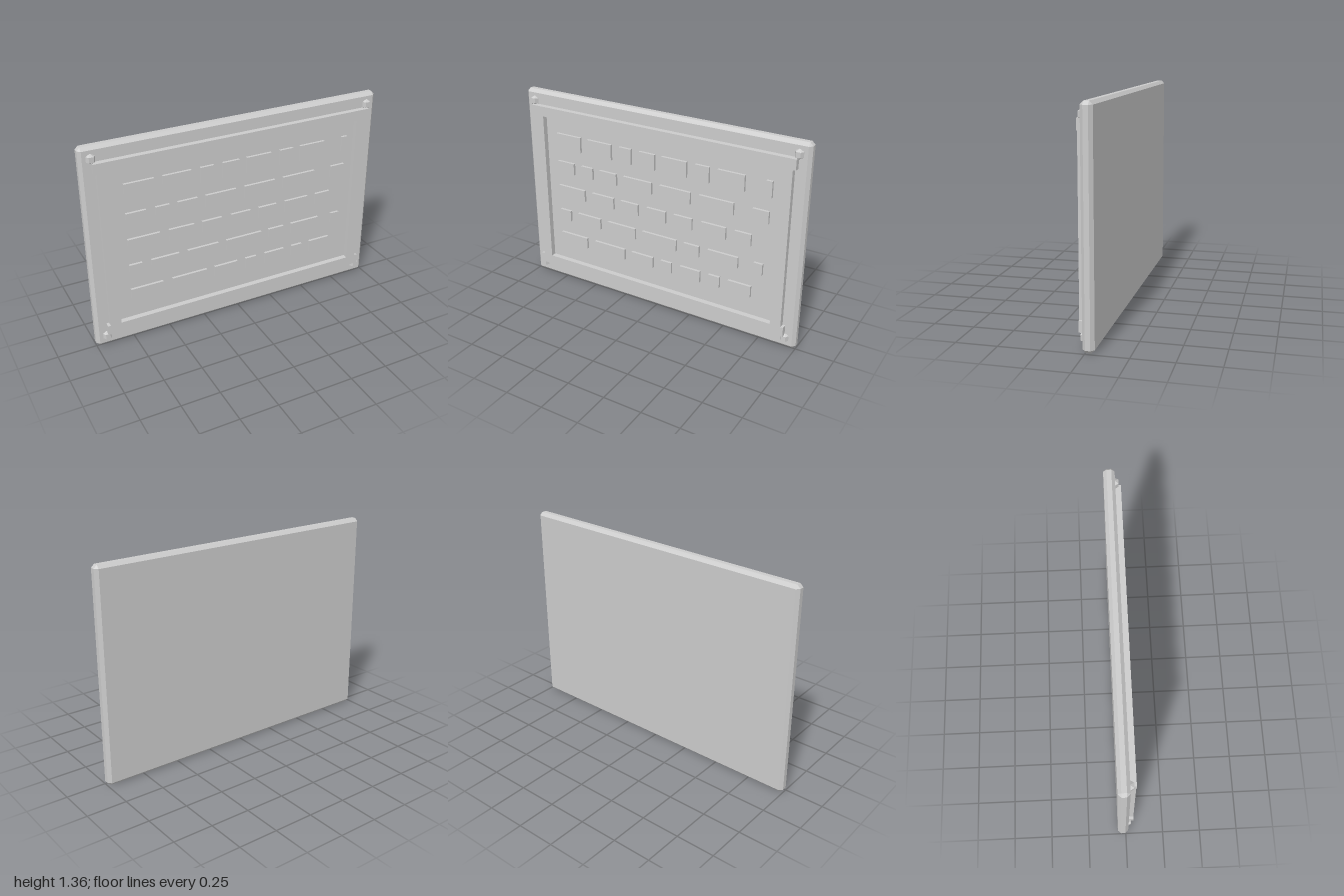
import * as THREE from 'three';
import { ConvexGeometry } from 'three/addons/geometries/ConvexGeometry.js';

const PLATE_FRONT = 0.017, PLATE_BACK = -0.053, FRAME_FRONT = 0.053, BLOCK_FRONT = 0.034;
const HEIGHT = 1.36, MID_Y = HEIGHT / 2;

// Rows of raised blocks: bottom, top, then [left, right] of each block
const ROWS = [
  [0.99, 1.095, [[-0.755, -0.565], [-0.51, -0.325], [-0.265, -0.175], [-0.115, 0], [0.05, 0.225], [0.285, 0.38], [0.435, 0.615], [0.75, 0.79]]],
  [0.82, 0.9, [[-0.755, -0.625], [-0.565, -0.475], [-0.42, -0.29], [-0.235, -0.025], [0.035, 0.255], [0.315, 0.55], [0.675, 0.78]]],
  [0.643, 0.723, [[-0.755, -0.545], [-0.485, -0.315], [-0.26, -0.125], [-0.06, 0.08], [0.14, 0.27], [0.335, 0.505], [0.565, 0.675]]],
  [0.467, 0.543, [[-0.755, -0.67], [-0.61, -0.425], [-0.365, -0.15], [-0.095, 0.16], [0.215, 0.325], [0.385, 0.595], [0.7, 0.76]]],
  [0.29, 0.367, [[-0.755, -0.54], [-0.475, -0.235], [-0.18, -0.015], [0.045, 0.125], [0.19, 0.335], [0.395, 0.475], [0.535, 0.69]]],
];

// Box with every edge and corner cut by c
function chamferBox(w, h, d, c) {
  const points = [];
  for (const sx of [-1, 1]) for (const sy of [-1, 1]) for (const sz of [-1, 1]) {
    for (let axis = 0; axis < 3; axis++) {
      const half = [w / 2, h / 2, d / 2].map((v, i) => (i === axis ? v : v - c));
      points.push(new THREE.Vector3(sx * half[0], sy * half[1], sz * half[2]));
    }
  }
  return new ConvexGeometry(points);
}

export function createModel() {
  const model = new THREE.Group();
  model.name = 'plaque';
  const material = new THREE.MeshStandardMaterial({ color: 0xcccccc, flatShading: true });

  const add = (parent, name, geometry, x, y, z) => {
    const mesh = new THREE.Mesh(geometry, material);
    mesh.name = name;
    mesh.position.set(x, y, z);
    parent.add(mesh);
  };
  // Box standing on the plate, given by its front outline
  const slab = (parent, name, x0, x1, y0, y1, front) => add(parent, name,
    new THREE.BoxGeometry(x1 - x0, y1 - y0, front - PLATE_FRONT),
    (x0 + x1) / 2, (y0 + y1) / 2, (front + PLATE_FRONT) / 2);
  const group = (name) => {
    const g = new THREE.Group();
    g.name = name;
    model.add(g);
    return g;
  };

  // Chamfered back plate
  add(model, 'backPlate', chamferBox(2, HEIGHT, PLATE_FRONT - PLATE_BACK, 0.02),
    0, MID_Y, (PLATE_FRONT + PLATE_BACK) / 2);

  // Raised frame: the rails reach slightly past the stiles
  const frame = group('frame');
  slab(frame, 'topRail', -0.93, 0.93, 1.2, 1.267, FRAME_FRONT);
  slab(frame, 'bottomRail', -0.93, 0.93, 0.093, 0.16, FRAME_FRONT);
  slab(frame, 'rightStile', -0.912, -0.842, 0.16, 1.2, FRAME_FRONT);
  slab(frame, 'leftStile', 0.842, 0.912, 0.16, 1.2, FRAME_FRONT);

  // Rows of raised blocks inside the frame
  const blocks = group('raisedBlocks');
  ROWS.forEach(([y0, y1, spans], row) => {
    for (const [x0, x1] of spans) slab(blocks, `blockRow${row + 1}`, x0, x1, y0, y1, BLOCK_FRONT);
  });

  // Faceted studs in the corners
  const studs = group('cornerStuds');
  const studGeometry = new THREE.SphereGeometry(0.034, 6, 3);
  for (const sx of [-1, 1]) for (const sy of [-1, 1]) {
    add(studs, 'cornerStud', studGeometry, sx * 0.93, MID_Y + sy * 0.608, 0.013);
  }
  return model;
}
